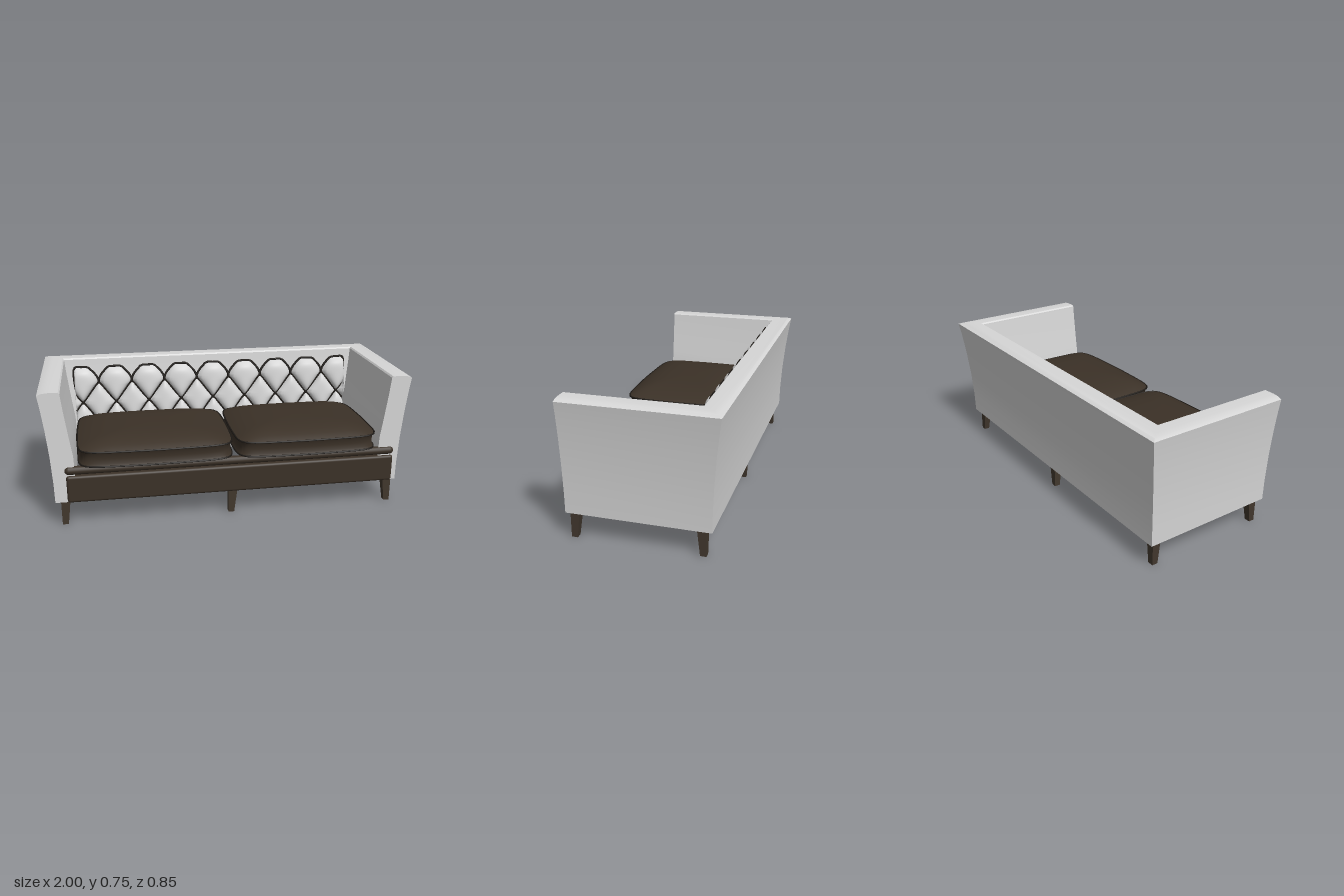
import * as THREE from 'three';
import { toCreasedNormals } from 'three/addons/utils/BufferGeometryUtils.js';
import { RoundedBoxGeometry } from 'three/addons/geometries/RoundedBoxGeometry.js';

const material = (name, color) => Object.assign(new THREE.MeshStandardMaterial({ color }), { name });

function part(parent, name, geometry, mat, x = 0, y = 0, z = 0) {
  const mesh = new THREE.Mesh(geometry, mat);
  mesh.name = name;
  mesh.position.set(x, y, z);
  parent.add(mesh);
  return mesh;
}

// Geometry from rows of points; each row holds [x, y, z] triples
function loft(rows, crease) {
  const pos = [];
  for (let i = 0; i < rows.length - 1; i++) {
    for (let j = 0; j < rows[i].length - 1; j++) {
      const a = rows[i][j], b = rows[i][j + 1], c = rows[i + 1][j + 1], d = rows[i + 1][j];
      pos.push(...a, ...b, ...c, ...a, ...c, ...d);
    }
  }
  const g = new THREE.BufferGeometry();
  g.setAttribute('position', new THREE.Float32BufferAttribute(pos, 3));
  return toCreasedNormals(g, crease);
}

// Shell section: [distance inward from the widest outline, height]
const SECTION = [
  [0.05, 0.14], [0.048, 0.25], [0.04, 0.4], [0.026, 0.55], [0.011, 0.67], [0, 0.738],
  [0.02, 0.746], [0.05, 0.75], [0.108, 0.75], [0.115, 0.742],
  [0.125, 0.65], [0.145, 0.5], [0.16, 0.4], [0.163, 0.28], [0.155, 0.14],
];
const FRONT = 0.375;

// Flared back and arms in one mitred U, with flat arm fronts
function buildShell(root, mat) {
  const loop = [...SECTION, SECTION[0]];
  const rows = [[-1, 0], [-1, 1], [1, 1], [1, 0]].map(([side, back]) =>
    loop.map(([d, y]) => [side * (1 - d), y, back ? -0.425 + d : FRONT]));
  part(root, 'backAndArms', loft(rows, 0.5), mat);
  for (const side of [-1, 1]) {
    const shape = new THREE.Shape(SECTION.map(([d, y]) => new THREE.Vector2(side * (1 - d), y)));
    part(root, 'armFront', new THREE.ShapeGeometry(shape), mat, 0, 0, FRONT);
  }
}

// Seat cushion: domed top and bottom, pinched side band, piped seams
function buildCushion(root, name, x, halfX, fabric, trim) {
  const cz = 0.105, halfZ = 0.3, n = 64;
  const outline = (t, s) => {
    const c = Math.cos(t), k = Math.sin(t), e = 0.2;
    const u = Math.sign(c) * Math.abs(c) ** e, v = Math.sign(k) * Math.abs(k) ** e;
    return [u * s * (halfX - 0.012 * v * v), v * s * (halfZ + 0.015 - 0.015 * u * u)];
  };
  const rings = [];
  const radii = [0.001, 0.2, 0.4, 0.6, 0.75, 0.87, 0.95, 1];
  for (const s of radii) rings.push([s, 0.345 - 0.045 * (1 - s ** 5)]);
  rings.push([0.978, 0.36], [0.972, 0.385], [0.978, 0.41]);
  for (const s of [...radii].reverse()) rings.push([s, 0.425 + 0.055 * (1 - s ** 4)]);

  const rows = rings.map(([s, y]) => Array.from({ length: n + 1 }, (_, i) => {
    const [px, pz] = outline(-(i % n) / n * Math.PI * 2, s);
    return [px, y, pz];
  }));
  const group = new THREE.Group();
  group.name = name;
  group.position.set(x, 0, cz);
  root.add(group);
  part(group, 'cushionBody', loft(rows, 0.6), fabric);
  for (const y of [0.345, 0.425]) {
    const pts = Array.from({ length: n }, (_, i) => {
      const [px, pz] = outline(i / n * Math.PI * 2, 0.997);
      return new THREE.Vector3(px, y, pz);
    });
    const path = new THREE.CatmullRomCurve3(pts, true);
    part(group, 'seamPiping', new THREE.TubeGeometry(path, 128, 0.005, 6, true), trim);
  }
}

// Diamond-tufted back made of bulging pads with dark piping between them
function buildTufting(root, padMat, trim) {
  const group = new THREE.Group();
  group.name = 'tuftedBack';
  root.add(group);
  const pitch = 0.197, h = 0.12, edge = 0.83;
  const baseZ = (y) => -0.295 + (0.7 - y) * 0.12;
  for (let row = 0; row < 3; row++) {
    const yc = 0.61 - row * h;
    const vMax = row === 0 ? 0.75 : 1;
    const width = (v) => pitch / 2 * (row === 0 && v > 0 ? Math.cos(v * Math.PI / 2) : 1 - Math.abs(v));
    const count = row === 1 ? 10 : 9;
    for (let k = 0; k < count; k++) {
      const xc = (k - (count - 1) / 2) * pitch;

      const pad = new THREE.PlaneGeometry(2, 2, 12, 14);
      const p = pad.attributes.position;
      for (let i = 0; i < p.count; i++) {
        const u = p.getX(i), v = -1 + (p.getY(i) + 1) / 2 * (1 + vMax);
        const y = yc + v * h;
        const fade = v > 0 ? 1 - (v / vMax) ** 4 : 1 - v ** 4;
        const bulge = 0.048 * Math.sqrt(Math.max(0, (1 - u * u) * fade));
        const x = THREE.MathUtils.clamp(xc + u * width(v), -edge, edge);
        p.setXYZ(i, x, y, baseZ(y) + bulge);
      }
      pad.computeVertexNormals();
      part(group, 'tuftedPad', pad, padMat);

      // Piping along both sides, over the top only on the first row
      for (const side of [-1, 1]) {
        const pts = [];
        const top = row === 0 ? vMax : 0;
        for (let i = 0; i <= 12; i++) {
          const v = -1 + i / 12 * (1 + top);
          const x = xc + side * width(v), y = yc + v * h;
          if (Math.abs(x) <= edge) pts.push(new THREE.Vector3(x, y, baseZ(y) + 0.014));
        }
        if (row === 0) pts.push(new THREE.Vector3(xc, 0.702, baseZ(0.7) + 0.014));
        if (pts.length < 2) continue;
        const path = new THREE.CatmullRomCurve3(pts);
        part(group, 'tuftPiping', new THREE.TubeGeometry(path, 20, 0.007, 6), trim);
      }
    }
  }
}

// Square leg, upright on its outer faces and tapered on its inner ones
function legGeometry(sideX, sideZ) {
  const g = new THREE.BoxGeometry(0.05, 0.14, 0.048);
  const p = g.attributes.position;
  for (let i = 0; i < p.count; i++) {
    if (p.getY(i) > 0) continue;
    if (p.getX(i) * sideX < 0) p.setX(i, -sideX * 0.007);
    if (p.getZ(i) * sideZ < 0) p.setZ(i, -sideZ * 0.008);
  }
  g.computeVertexNormals();
  return g;
}

export function createModel() {
  const root = new THREE.Group();
  root.name = 'sofa';
  const light = material('lightFabric', 0xd6d6d6);
  const brown = material('brownFabric', 0x3b3127);
  const wood = material('darkWood', 0x41372d);
  const trim = material('darkPiping', 0x1e1a16);

  buildShell(root, light);
  buildTufting(root, light, trim);
  buildCushion(root, 'rightCushion', -0.402, 0.422, brown, trim);
  buildCushion(root, 'leftCushion', 0.43, 0.4, brown, trim);

  // Front rail and the padded roll above it
  part(root, 'frontRail', new RoundedBoxGeometry(1.81, 0.152, 0.05, 4, 0.015), brown, 0.02, 0.214, 0.364);
  const roll = new THREE.CapsuleGeometry(0.023, 1.775, 6, 16);
  roll.rotateZ(Math.PI / 2);
  part(root, 'frontRoll', roll, brown, 0.018, 0.318, 0.367);

  // Six legs
  for (const [x, sideX] of [[-0.897, -1], [0.014, -1], [0.91, 1]]) {
    for (const [z, sideZ, name] of [[0.331, 1, 'frontLeg'], [-0.32, -1, 'backLeg']]) {
      part(root, name, legGeometry(sideX, sideZ), wood, x, 0.07, z);
    }
  }
  return root;
}
